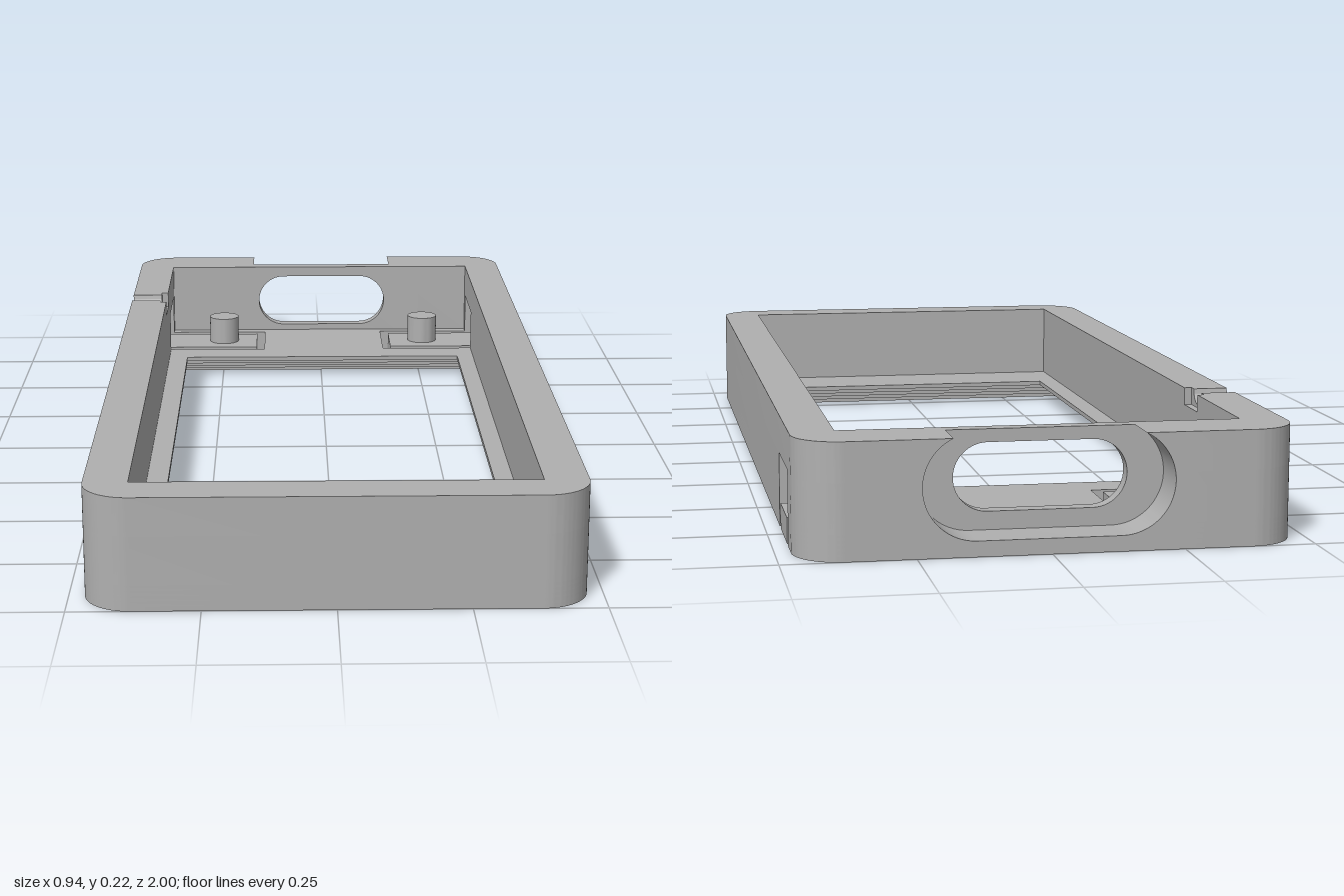
import * as THREE from 'three';
import { toCreasedNormals } from 'three/addons/utils/BufferGeometryUtils.js';

const W = 0.47, L = 1, R = 0.09;           // outer half width, half length, corner radius
const IX = 0.385, IF = -0.91, IB = 0.88;   // inner cavity (plan coordinates use Y = -z, back is +Y)
const S0 = 0.68, S1 = 0.855;               // side slot range
const BL = -0.25, BR = 0.26;               // back port section
const FLOOR = 0.05, SLOT_TOP = 0.145, H = 0.22;

export function createModel() {
  const model = new THREE.Group();
  const grey = new THREE.MeshStandardMaterial({ color: 0xb0b0b0 });
  grey.name = 'plain grey';

  const add = (name, geo) => {
    const mesh = new THREE.Mesh(toCreasedNormals(geo, 0.5), grey);
    mesh.name = name;
    model.add(mesh);
    return mesh;
  };
  const extrude = (shape, depth) =>
    new THREE.ExtrudeGeometry(shape, { depth, bevelEnabled: false, curveSegments: 14 });

  // counter-clockwise outline; the four outer case corners are rounded
  const outline = (pts) => {
    const s = new THREE.Shape();
    pts.forEach(([x, y], i) => {
      if (Math.abs(x) === W && Math.abs(y) === L) {
        const a = x > 0 ? (y > 0 ? 0 : -Math.PI / 2) : (y > 0 ? Math.PI / 2 : Math.PI);
        s.absarc(x - Math.sign(x) * R, y - Math.sign(y) * R, R, a, a + Math.PI / 2, false);
      } else if (i === 0) s.moveTo(x, y);
      else s.lineTo(x, y);
    });
    s.closePath();
    return s;
  };
  const rect = (x0, x1, y0, y1) => [[x0, y0], [x1, y0], [x1, y1], [x0, y1]];
  const rectPath = (...r) => new THREE.Path(rect(...r).map((p) => new THREE.Vector2(...p)));
  const slab = (name, shape, y0, y1) =>
    add(name, extrude(shape, y1 - y0).rotateX(-Math.PI / 2).translate(0, y0, 0));

  // floor with slots round the buttons and a window stepping outward towards the bottom
  const steps = 5;
  for (let i = 0; i < steps; i++) {
    const floor = outline([
      [0, -L], [W, -L], [W, S0], [0.16, S0], [0.16, S1], [W, S1], [W, L],
      [BR, L], [BR, IB], [BL, IB], [BL, L],
      [-W, L], [-W, S1], [-0.145, S1], [-0.145, S0], [-W, S0], [-W, -L],
    ]);
    const o = 0.015 * (steps - 1 - i);
    floor.holes.push(rectPath(-0.34 - o, 0.345 + o, -0.74 - o, 0.6 + o));
    slab('floorStep', floor, i * FLOOR / steps, (i + 1) * FLOOR / steps);
  }

  // lower walls, interrupted by the side slots
  slab('lowerWall', outline([
    [0, -L], [W, -L], [W, S0], [IX, S0], [IX, IF], [-IX, IF], [-IX, S0], [-W, S0], [-W, -L],
  ]), FLOOR, SLOT_TOP);
  slab('lowerBackCorner', outline([
    [IX, S1], [W, S1], [W, L], [BR, L], [BR, IB], [IX, IB],
  ]), FLOOR, SLOT_TOP);
  slab('lowerBackCorner', outline([
    [-IX, S1], [-IX, IB], [BL, IB], [BL, L], [-W, L], [-W, S1],
  ]), FLOOR, SLOT_TOP);

  // upper walls, with a gap for the cable notch
  const N0 = 0.48, N1 = 0.61, NC = 0.54;
  slab('upperWall', outline([
    [0, -L], [W, -L], [W, L], [BR, L], [BR, IB], [IX, IB], [IX, IF], [-IX, IF],
    [-IX, N0], [-W, N0], [-W, -L],
  ]), SLOT_TOP, H);
  slab('upperBackCorner', outline([
    [-IX, N1], [-IX, IB], [BL, IB], [BL, L], [-W, L], [-W, N1],
  ]), SLOT_TOP, H);

  // cable notch: half-round groove outside, wider square pocket inside
  const groove = new THREE.Shape();
  groove.moveTo(N0, SLOT_TOP).lineTo(N1, SLOT_TOP).lineTo(N1, H);
  groove.absarc(NC, H, 0.028, 0, -Math.PI, true);
  groove.lineTo(N0, H).closePath();
  add('cableGroove', extrude(groove, 0.07).rotateY(Math.PI / 2).translate(-W, 0, 0));
  const pocket = outline([
    [N0, SLOT_TOP], [N1, SLOT_TOP], [N1, H], [0.59, H], [0.59, 0.185],
    [0.495, 0.185], [0.495, H], [N0, H],
  ]);
  add('cablePocket', extrude(pocket, 0.015).rotateY(Math.PI / 2).translate(-0.4, 0, 0));

  // back port: round-ended recess running out through the top edge
  const cx = 0.005, cy = 0.13, r = 0.1, c = 0.135;
  const a = Math.asin((H - cy) / r);
  const recess = new THREE.Shape();
  recess.moveTo(BL, 0).lineTo(BR, 0).lineTo(BR, H);
  recess.absarc(cx + c, cy, r, a, -Math.PI / 2, true);
  recess.absarc(cx - c, cy, r, -Math.PI / 2, -Math.PI - a, true);
  recess.lineTo(BL, H).closePath();
  add('portRecess', extrude(recess, 0.09).translate(0, 0, -L));

  // thin wall behind the recess with a round-ended opening
  const web = outline(rect(BL, BR, 0, H));
  const port = new THREE.Path();
  port.absarc(cx + 0.1, cy, 0.065, -Math.PI / 2, Math.PI / 2, false);
  port.absarc(cx - 0.1, cy, 0.065, Math.PI / 2, Math.PI * 1.5, false);
  port.closePath();
  web.holes.push(port);
  add('portWall', extrude(web, 0.03).translate(0, 0, -0.91));

  // flexing button tongues with posts and a ring groove underneath
  for (const [x0, x1, px] of [[0.18, W, 0.265], [-W, -0.165, -0.25]]) {
    const lower = outline(rect(x0, x1, 0.7, 0.835));
    const ring = new THREE.Path();
    ring.absarc(px, 0.77, 0.047, 0, Math.PI * 2, false);
    lower.holes.push(ring);
    slab('buttonUnderside', lower, 0, 0.012);
    slab('buttonTongue', outline(rect(x0, x1, 0.7, 0.835)), 0.012, FLOOR);
    add('buttonPost', new THREE.CylinderGeometry(0.037, 0.037, 0.115, 32).translate(px, 0.0575, -0.77));
  }
  return model;
}
